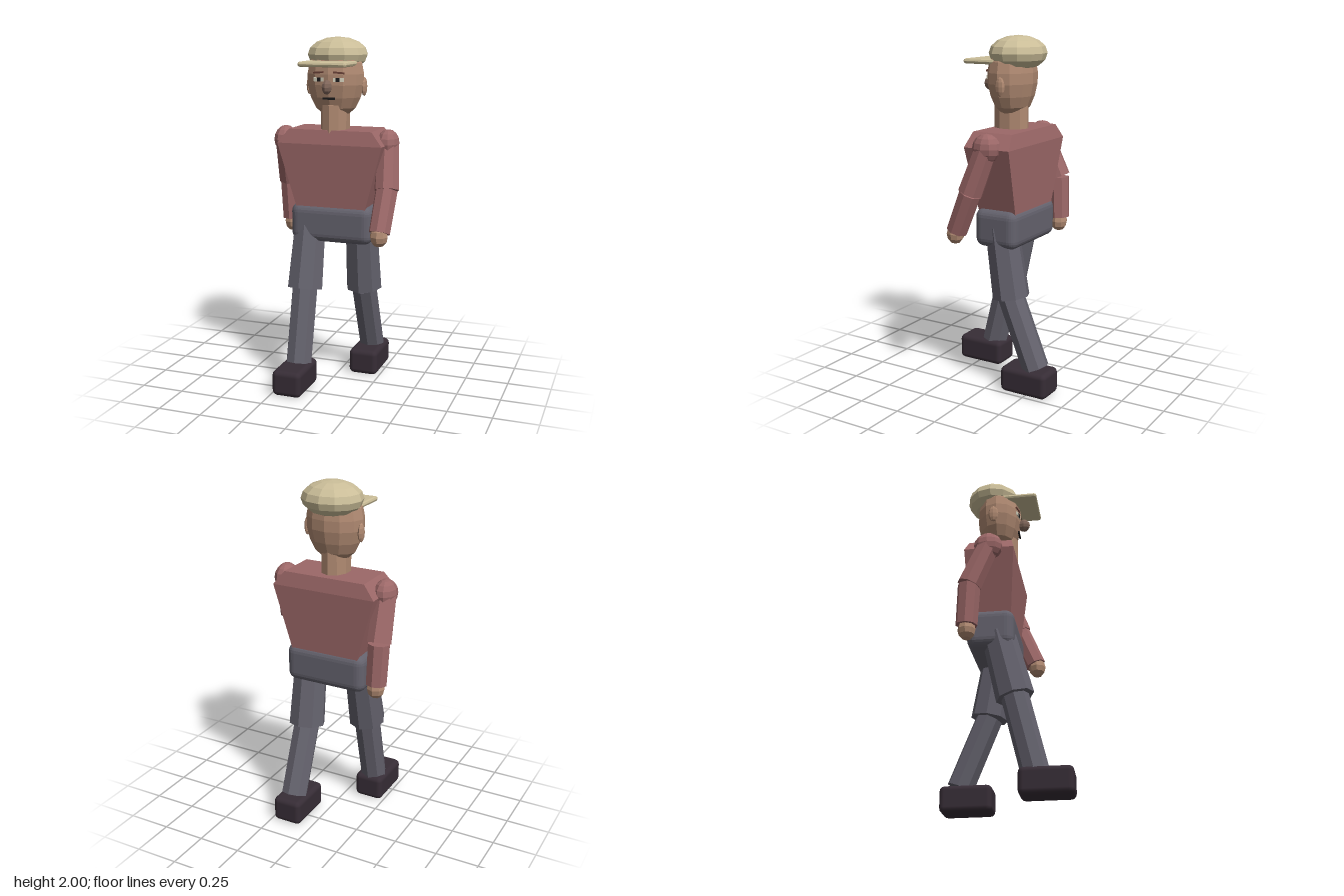
import * as THREE from 'three';
import { RoundedBoxGeometry } from 'three/addons/geometries/RoundedBoxGeometry.js';

const mat = (name, color, flatShading = true) => {
  const m = new THREE.MeshStandardMaterial({ color, flatShading });
  m.name = name;
  return m;
};

export function createModel() {
  const skin = mat('skin', 0xb08a72);
  const noseSkin = mat('nose skin', 0x80665a);
  const shirt = mat('shirt red', 0x9c6868);
  const trousers = mat('trouser grey', 0x64626d);
  const shoes = mat('shoe dark', 0x372d36, false);
  const cloth = mat('cap beige', 0xcabd98);
  const white = mat('eye white', 0xd8d4c0);
  const dark = mat('pupil dark', 0x1c1a1c);
  const brown = mat('brow brown', 0x6a4238);

  const model = new THREE.Group();
  model.name = 'walkingMan';

  const add = (name, geo, material, x = 0, y = 0, z = 0) => {
    const m = new THREE.Mesh(geo, material);
    m.name = name;
    m.position.set(x, y, z);
    model.add(m);
    return m;
  };
  const ball = (name, material, p, r, w = 10, h = 8) => {
    const m = add(name, new THREE.SphereGeometry(1, w, h), material, ...p);
    m.scale.set(...r);
    return m;
  };
  // eight-sided limb from joint a down to joint b
  const limb = (name, material, a, b, ra, rb) => {
    const A = new THREE.Vector3(...a), B = new THREE.Vector3(...b);
    const axis = A.clone().sub(B);
    const m = add(name, new THREE.CylinderGeometry(ra, rb, axis.length(), 8), material);
    m.position.copy(A).add(B).multiplyScalar(0.5);
    m.quaternion.setFromUnitVectors(new THREE.Vector3(0, 1, 0), axis.normalize());
    return m;
  };
  const roundBox = (name, material, size, p, radius, seg = 2) =>
    add(name, new RoundedBoxGeometry(...size, seg, radius), material, ...p);

  // torso: a box with three rows, widest just below the shoulders
  const rows = {
    '-0.5': [1.0, 0.195, 0.055, -0.175],
    '0': [1.41, 0.31, 0.087, -0.195],
    '0.5': [1.49, 0.245, 0.068, -0.178],
  };
  const torso = new THREE.BoxGeometry(1, 1, 1, 1, 2, 1);
  const pos = torso.attributes.position;
  for (let i = 0; i < pos.count; i++) {
    const [y, halfWidth, front, back] = rows[String(pos.getY(i))];
    pos.setXYZ(i, Math.sign(pos.getX(i)) * halfWidth, y, pos.getZ(i) > 0 ? front : back);
  }
  torso.computeVertexNormals();
  add('torso', torso, shirt);
  roundBox('pelvis', mat('trouser grey smooth', 0x64626d, false), [0.486, 0.22, 0.265], [0, 0.95, -0.057], 0.05, 3).material = trousers;

  // neck and head
  add('neck', new THREE.CylinderGeometry(0.08, 0.08, 0.16, 10), skin, 0, 1.55, -0.03).scale.z = 1.28;
  const profile = [[0, 1.57], [0.08, 1.577], [0.118, 1.61], [0.148, 1.67], [0.166, 1.74],
    [0.167, 1.8], [0.155, 1.86], [0.11, 1.93], [0, 1.95]].map(([r, y]) => new THREE.Vector2(r, y));
  add('head', new THREE.LatheGeometry(profile, 12), skin, 0, 0, -0.037).scale.z = 0.78;
  ball('nose', noseSkin, [0, 1.732, 0.11], [0.028, 0.04, 0.037], 8, 6);

  // face details and ears, mirrored
  for (const s of [-1, 1]) {
    const side = s > 0 ? 'left' : 'right';
    ball(side + 'Ear', skin, [s * 0.163, 1.73, -0.053], [0.016, 0.053, 0.03], 8, 6);
    const facePlate = (name, material, w, h, x, y, z) => {
      const m = add(side + name, new THREE.BoxGeometry(w, h, 0.009), material, s * x, y, z);
      m.rotation.y = s * 0.2;
      return m;
    };
    facePlate('Eye', white, 0.06, 0.022, 0.058, 1.772, 0.082);
    facePlate('Pupil', dark, 0.022, 0.022, 0.054, 1.772, 0.086);
    facePlate('Brow', brown, 0.062, 0.01, 0.06, 1.81, 0.081).rotation.z = -s * 0.08;
  }
  add('mouth', new THREE.BoxGeometry(0.07, 0.012, 0.009), dark, 0, 1.668, 0.082);

  // cap with its flat brim
  ball('capCrown', cloth, [0, 1.905, -0.072], [0.174, 0.097, 0.158], 12, 8);
  roundBox('capBrim', cloth, [0.28, 0.028, 0.25], [0, 1.859, 0.077], 0.013, 1);

  // arms: shoulder, elbow, wrist and hand positions
  const arms = [
    ['left', [0.305, 1.415, -0.055], [0.327, 1.165, 0.036], [0.317, 0.94, 0.133], [0.317, 0.923, 0.143]],
    ['right', [-0.315, 1.415, -0.055], [-0.33, 1.165, -0.158], [-0.323, 0.925, -0.17], [-0.32, 0.9, -0.17]],
  ];
  for (const [side, shoulder, elbow, wrist, hand] of arms) {
    ball(side + 'Shoulder', shirt, shoulder, [0.065, 0.08, 0.083]);
    limb(side + 'UpperArm', shirt, shoulder, elbow, 0.064, 0.071);
    limb(side + 'Forearm', shirt, elbow, wrist, 0.064, 0.061);
    ball(side + 'Hand', skin, hand, [0.052, 0.06, 0.05], 8, 6);
  }

  // legs in mid stride: hip, knee, ankle and shoe depth
  const legs = [
    ['left', 0.15, [0.96, -0.055], [0.55, -0.118], [0.16, -0.28], -0.237],
    ['right', -0.152, [0.93, -0.02], [0.56, 0.072], [0.15, 0.175], 0.237],
  ];
  for (const [side, x, hip, knee, ankle, shoeZ] of legs) {
    limb(side + 'Thigh', trousers, [x, ...hip], [x, ...knee], 0.095, 0.107);
    limb(side + 'Shin', trousers, [x, ...knee], [x, ankle[0] - 0.01, ankle[1]], 0.077, 0.077);
    roundBox(side + 'Shoe', shoes, [0.175, 0.15, 0.293], [x, 0.075, shoeZ], 0.03);
  }
  return model;
}
